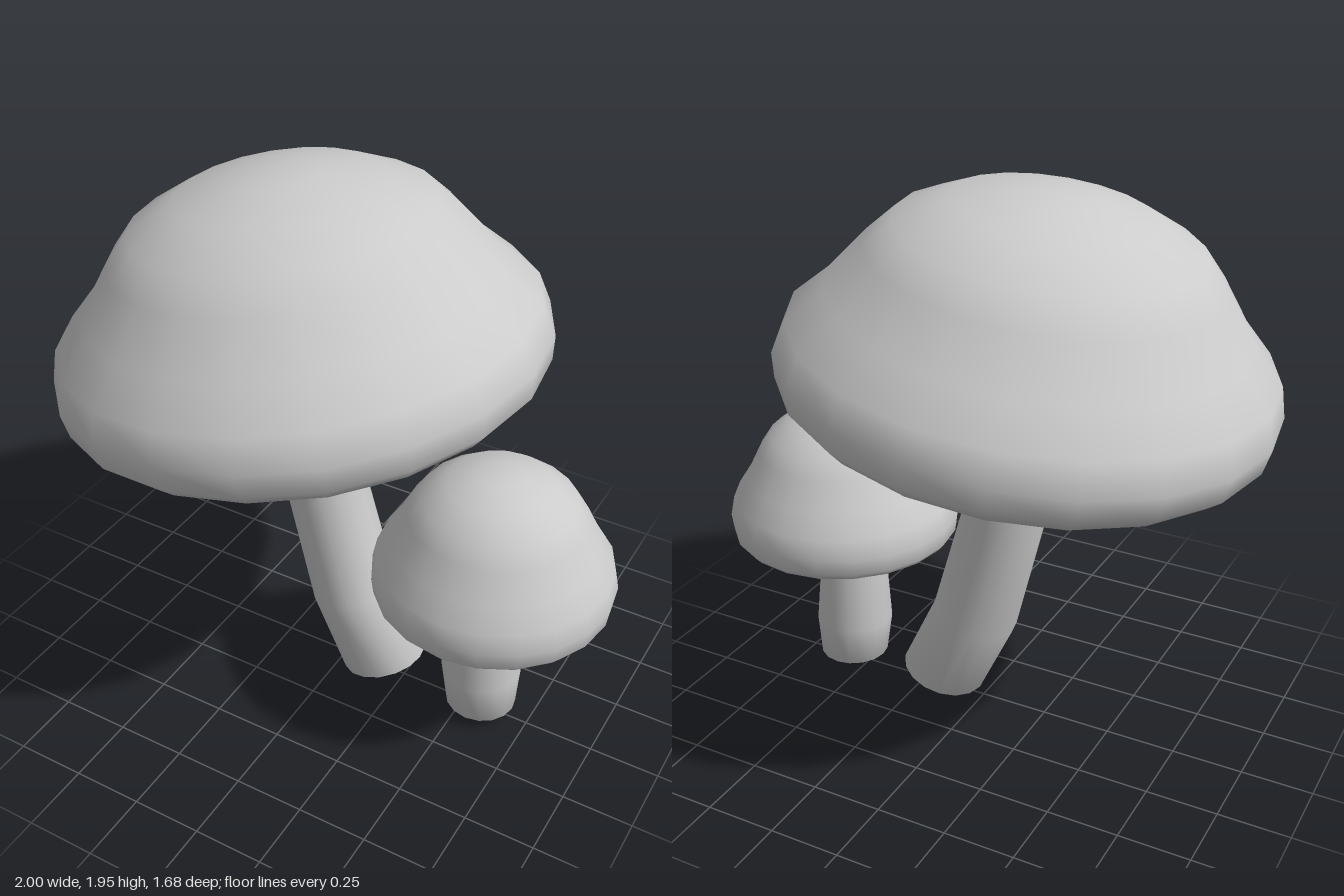
import * as THREE from 'three';
import { mergeVertices } from 'three/addons/utils/BufferGeometryUtils.js';

const material = new THREE.MeshStandardMaterial({ color: 0xcccccc });

// Smooth surface through round rings, listed bottom to top as [x, y, tilt, radius]
function loft(rings, sides) {
  const unit = rings.map((ring, i) => new THREE.Vector2(ring[3], i));
  const geo = new THREE.LatheGeometry(unit, sides);
  const pos = geo.attributes.position;
  for (let i = 0; i < pos.count; i++) {
    const [x, y, tilt] = rings[Math.round(pos.getY(i))];
    const px = pos.getX(i);
    pos.setXYZ(i, x + px * Math.cos(tilt), y + px * Math.sin(tilt), pos.getZ(i));
  }
  // weld the seam so that shading runs round without a break
  geo.deleteAttribute('uv');
  geo.deleteAttribute('normal');
  const welded = mergeVertices(geo, 1e-4);
  welded.computeVertexNormals();
  return welded;
}

function addMesh(parent, name, geo) {
  const mesh = new THREE.Mesh(geo, material);
  mesh.name = name;
  parent.add(mesh);
  return mesh;
}

// Cap profile is [radius, height] from the underside centre to the crown
function addCap(parent, profile) {
  return addMesh(parent, 'cap', loft(profile.map(([r, y]) => [0, y, 0, r]), 20));
}

// Stem wall plus the small flat disc closing its foot
function addStem(parent, rings) {
  const [x, y, tilt] = rings[0];
  addMesh(parent, 'stem', loft(rings, 16));
  addMesh(parent, 'stemFoot', loft([[x, y, tilt, 0], rings[0]], 16));
}

export function createModel() {
  const model = new THREE.Group();
  model.name = 'mushrooms';

  // Large mushroom: leaning stem and tilted cap
  const large = new THREE.Group();
  large.name = 'largeMushroom';
  model.add(large);
  addStem(large, [
    [0.175, 0.022, 0.296, 0.045],
    [0.165, 0.075, 0.296, 0.155],
    [0.032, 0.355, 0.296, 0.154],
    [-0.08, 0.775, 0.245, 0.145],
    [-0.132, 1.16, 0.15, 0.145],
    [-0.14, 1.25, 0.15, 0.145],
  ]);
  const largeCap = addCap(large, [
    [0, -0.185], [0.25, -0.18], [0.55, -0.155], [0.775, -0.133], [0.825, -0.085],
    [0.84, 0], [0.81, 0.108], [0.7, 0.22], [0.59, 0.37], [0.505, 0.465],
    [0.34, 0.548], [0.15, 0.595], [0, 0.603],
  ]);
  largeCap.position.set(-0.17, 1.34, 0);
  largeCap.rotation.z = 0.15;

  // Small mushroom: upright
  const small = new THREE.Group();
  small.name = 'smallMushroom';
  model.add(small);
  addStem(small, [
    [0.568, 0.004, 0, 0.042],
    [0.565, 0.048, 0, 0.127],
    [0.558, 0.2, 0, 0.143],
    [0.55, 0.54, 0, 0.116],
    [0.55, 0.6, 0, 0.115],
  ]);
  const smallCap = addCap(small, [
    [0, 0.535], [0.12, 0.537], [0.28, 0.552], [0.39, 0.565], [0.412, 0.59],
    [0.42, 0.65], [0.405, 0.723], [0.355, 0.8], [0.305, 0.9], [0.262, 0.965],
    [0.18, 1.028], [0.08, 1.058], [0, 1.062],
  ]);
  smallCap.position.x = 0.578;

  return model;
}
